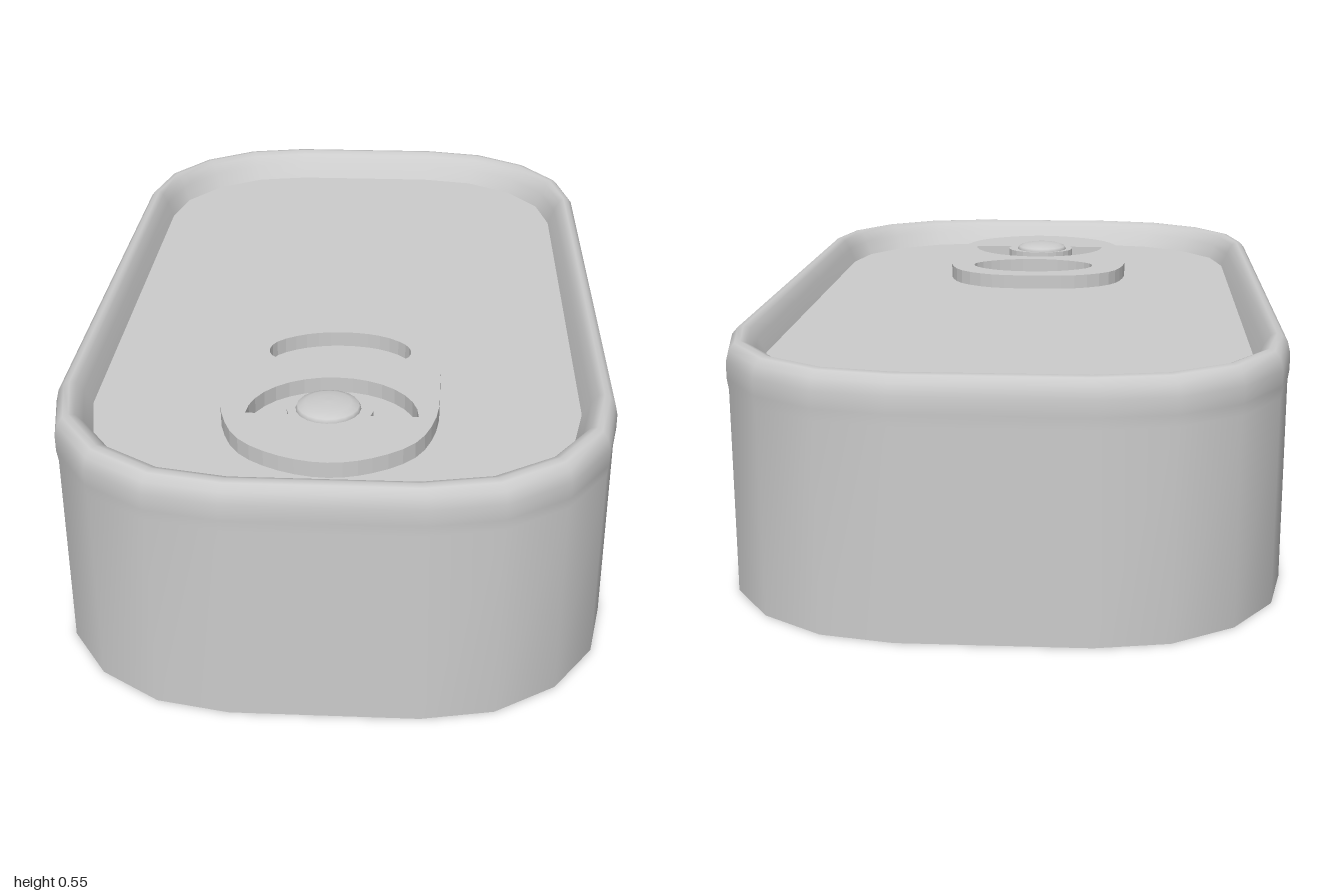
import * as THREE from 'three';

const material = new THREE.MeshStandardMaterial({ color: 0xcccccc, side: THREE.DoubleSide });
const LID_Y = 0.48;

// Rounded rectangle with four segments per corner, as [x, z] points
function outline(hx, hz, k) {
  const rx = 0.4 - 0.05 * k, rz = 0.4 - 0.06 * k;
  const points = [];
  for (let q = 0; q < 4; q++) {
    const sx = q === 0 || q === 3 ? 1 : -1, sz = q < 2 ? 1 : -1;
    for (let i = 0; i <= 4; i++) {
      const a = (q + i / 4) * Math.PI / 2;
      points.push([sx * (hx - rx) + rx * Math.cos(a), sz * (hz - rz) + rz * Math.sin(a)]);
    }
  }
  return points;
}

// Skin stacked rings [halfX, y, halfZ, corner shrink]
function loft(rings) {
  const pos = [], index = [];
  rings.forEach(([hx, y, hz, k]) => outline(hx, hz, k).forEach(([x, z]) => pos.push(x, y, z)));
  const n = pos.length / 3 / rings.length;
  for (let r = 0; r < rings.length - 1; r++) {
    for (let i = 0; i < n; i++) {
      const a = r * n + i, b = r * n + (i + 1) % n;
      index.push(a, a + n, b, b, a + n, b + n);
    }
  }
  const geometry = new THREE.BufferGeometry();
  geometry.setAttribute('position', new THREE.Float32BufferAttribute(pos, 3));
  geometry.setIndex(index);
  geometry.computeVertexNormals();
  return geometry;
}

// Flat panel filling an outline, facing up or down
function panel(points, y, up) {
  const shape = new THREE.Shape(points.map(([x, z]) => new THREE.Vector2(x, up ? -z : z)));
  return new THREE.ShapeGeometry(shape).rotateX(up ? -Math.PI / 2 : Math.PI / 2).translate(0, y, 0);
}

// Smooth closed loop through [x, z] points, in shape coordinates
function closedLoop(points, divisions) {
  const curve = new THREE.CatmullRomCurve3(points.map(([x, z]) => new THREE.Vector3(x, -z, 0)), true);
  return curve.getPoints(divisions).slice(0, -1).map((p) => new THREE.Vector2(p.x, p.y));
}

// Arc of an ellipse in shape coordinates, angles in degrees
function arc(cx, cz, rx, rz, from, to, steps) {
  return Array.from({ length: steps + 1 }, (_, i) => {
    const a = THREE.MathUtils.degToRad(from + (to - from) * i / steps);
    return new THREE.Vector2(cx + rx * Math.cos(a), -cz + rz * Math.sin(a));
  });
}

function pullTab() {
  const shape = new THREE.Shape(closedLoop([
    [-0.01, 0.19], [0.1, 0.2], [0.185, 0.255], [0.222, 0.35], [0.225, 0.5], [0.217, 0.65],
    [0.175, 0.76], [0.09, 0.825], [0, 0.848], [-0.1, 0.825], [-0.19, 0.76], [-0.237, 0.65],
    [-0.25, 0.5], [-0.247, 0.35], [-0.21, 0.255], [-0.12, 0.2],
  ], 48));
  // Finger opening
  shape.holes.push(new THREE.Path(closedLoop([
    [0, 0.25], [0.09, 0.267], [0.15, 0.315], [0.157, 0.365], [0.1, 0.415], [0, 0.44],
    [-0.1, 0.418], [-0.16, 0.37], [-0.155, 0.315], [-0.09, 0.267],
  ], 32)));
  // Crescent slot around the rivet
  shape.holes.push(new THREE.Path([
    ...arc(-0.003, 0.65, 0.183, 0.17, 0, 180, 16),
    ...arc(-0.008, 0.625, 0.092, 0.08, 200, -20, 14),
  ]));
  return new THREE.ExtrudeGeometry(shape, { depth: 0.035, bevelEnabled: false })
    .rotateX(-Math.PI / 2).translate(0, LID_Y, 0);
}

export function createModel() {
  const group = new THREE.Group();
  const add = (name, geometry) => {
    const mesh = new THREE.Mesh(geometry, material);
    mesh.name = name;
    group.add(mesh);
    return mesh;
  };

  // Side wall rolling over the rim and down to the lid
  add('canWall', loft([
    [0.597, 0, 0.997, 0], [0.597, 0.445, 0.997, 0], [0.6, 0.47, 1, 0], [0.6, 0.505, 1, 0],
    [0.594, 0.53, 0.993, 0.1], [0.583, 0.543, 0.98, 0.2], [0.572, 0.545, 0.965, 0.35],
    [0.56, 0.538, 0.948, 0.5], [0.546, 0.515, 0.925, 0.75], [0.53, LID_Y, 0.9, 1],
  ]));
  add('lid', panel(outline(0.53, 0.9, 1), LID_Y, true));
  add('base', panel(outline(0.597, 0.997, 0), 0, false));

  // Ring pull and its rivet
  add('pullTab', pullTab());
  const dome = [[0.07, 0], [0.07, 0.035], [0.066, 0.043], [0.05, 0.049], [0.025, 0.052], [0, 0.053]];
  const rivet = add('rivet', new THREE.LatheGeometry(dome.map(([x, y]) => new THREE.Vector2(x, y)), 20));
  rivet.position.set(-0.012, LID_Y, 0.62);

  return group;
}
